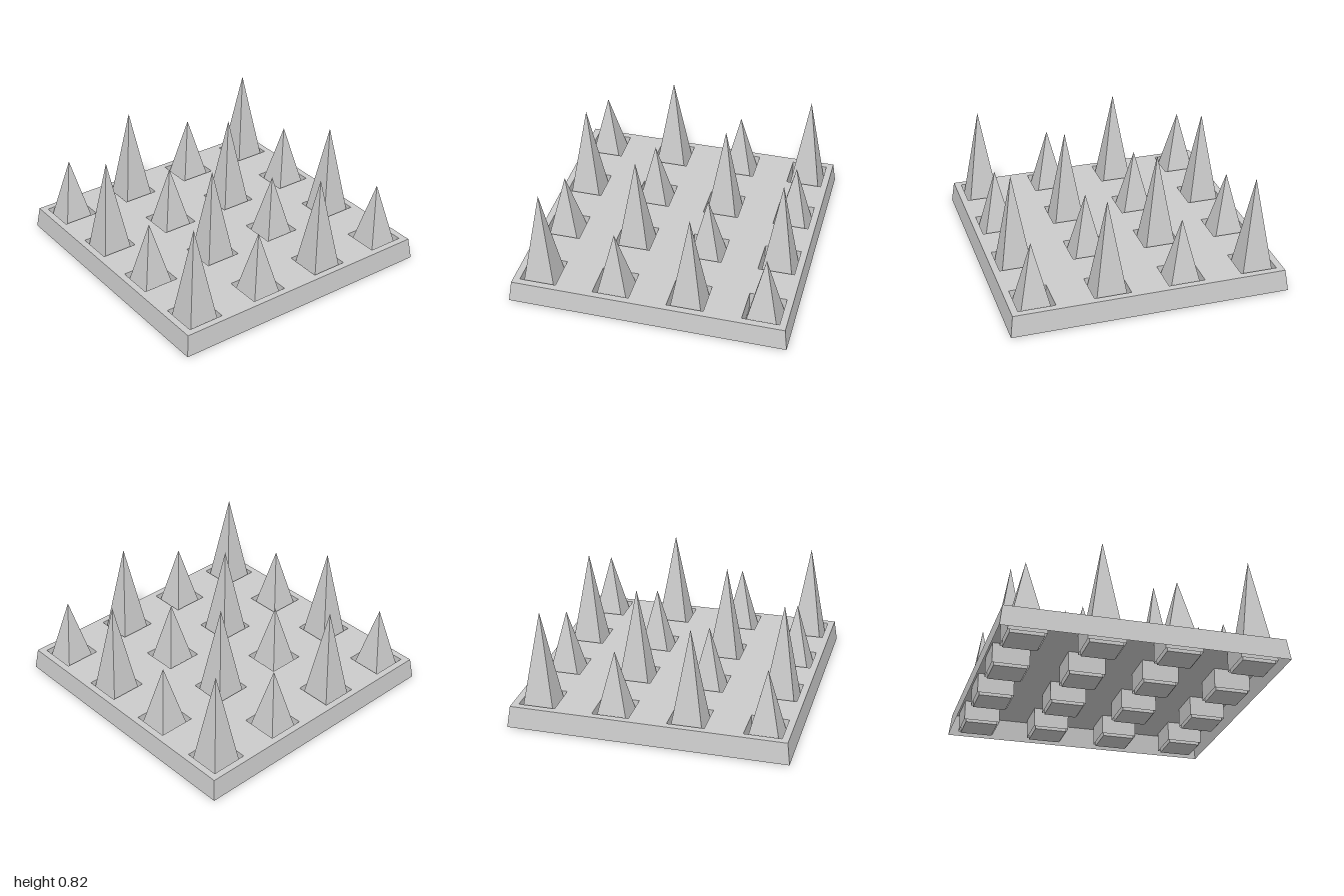
import * as THREE from 'three';

const TOP = 0.16;               // height of the plate surface
const RIM = 0.005;              // lower edge of the tray skirt
const HOLE = 0.132;             // half width of a hole
const BASE = 0.118;             // half width of a spike base
const CENTRES = [-0.8, -0.267, 0.267, 0.8];

const solid = new THREE.MeshStandardMaterial({ color: 0xcccccc, flatShading: true });
const sheet = new THREE.MeshStandardMaterial({ color: 0xcccccc, flatShading: true, side: THREE.DoubleSide });

function add(parent, name, geometry, material) {
  const mesh = new THREE.Mesh(geometry, material);
  mesh.name = name;
  parent.add(mesh);
  return mesh;
}

// Revolves a profile of [half width, height] into a square, axis-aligned form
function square(profile) {
  const points = profile.map(([h, y]) => new THREE.Vector2(h * Math.SQRT2, y));
  return new THREE.LatheGeometry(points, 4, Math.PI / 4);
}

function squarePath(path, x, y, h) {
  path.moveTo(x - h, y - h);
  path.lineTo(x + h, y - h);
  path.lineTo(x + h, y + h);
  path.lineTo(x - h, y + h);
  path.closePath();
  return path;
}

export function createModel() {
  const model = new THREE.Group();
  model.name = 'spikeTrap';

  // Top plate with a grid of square holes
  const outline = squarePath(new THREE.Shape(), 0, 0, 0.98);
  for (const x of CENTRES)
    for (const z of CENTRES) outline.holes.push(squarePath(new THREE.Path(), x, -z, HOLE));
  const plate = add(model, 'topPlate', new THREE.ShapeGeometry(outline).rotateX(-Math.PI / 2), sheet);
  plate.position.y = TOP;

  // Sloping skirt, open underneath
  add(model, 'skirt', square([[1, RIM], [0.98, TOP]]), sheet);

  // Square sleeves with tall and short spikes in a checkerboard
  const sleeve = square([[HOLE, 0.015], [HOLE, TOP]]);
  const spikes = [0.59, 0.82].map((tip) => square([[0, 0], [BASE, 0], [BASE, 0.075], [0, tip]]));
  CENTRES.forEach((x, i) => CENTRES.forEach((z, j) => {
    const cell = new THREE.Group();
    cell.name = 'spikeCell';
    cell.position.set(x, 0, z);
    const tall = (i + j) % 2;
    add(cell, 'sleeve', sleeve, sheet);
    add(cell, tall ? 'tallSpike' : 'shortSpike', spikes[tall], solid);
    model.add(cell);
  }));

  return model;
}
